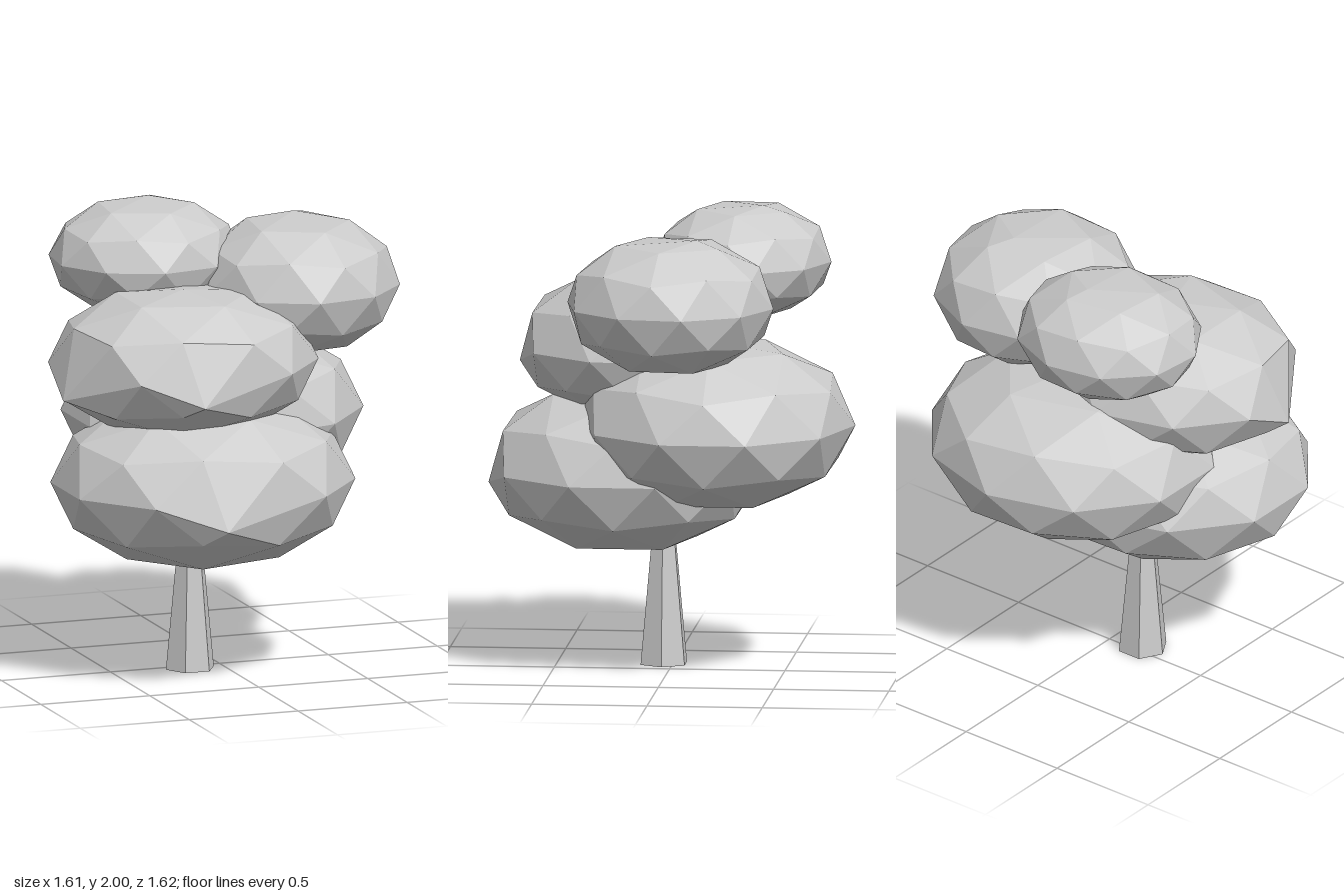
import * as THREE from 'three';

const material = new THREE.MeshStandardMaterial({ color: 0xcccccc, flatShading: true });

// Low-poly leaf clump: a pole-up icosphere with slightly flattened poles,
// stretched to the radii; nudges shift single vertices: [unit direction, offset]
function leafClump(name, centre, radii, turn = 0, nudges = []) {
  const geo = new THREE.IcosahedronGeometry(1, 1);
  geo.rotateZ(-Math.atan2(1, (1 + Math.sqrt(5)) / 2));
  const pos = geo.attributes.position;
  const v = new THREE.Vector3();
  for (let i = 0; i < pos.count; i++) {
    v.fromBufferAttribute(pos, i);
    const nudge = nudges.find(([dir]) => v.distanceTo(new THREE.Vector3(...dir)) < 0.1);
    if (Math.abs(v.y) > 0.99) v.y *= 0.934;
    v.applyAxisAngle(THREE.Object3D.DEFAULT_UP, turn);
    v.multiply(new THREE.Vector3(...radii));
    if (nudge) v.add(new THREE.Vector3(...nudge[1]));
    pos.setXYZ(i, v.x, v.y, v.z);
  }
  geo.computeVertexNormals();
  const mesh = new THREE.Mesh(geo, material);
  mesh.name = name;
  mesh.position.set(...centre);
  return mesh;
}

export function createModel() {
  const tree = new THREE.Group();
  tree.name = 'tree';

  // Tapered six-sided trunk, its top hidden in the lowest clump
  const trunkGeo = new THREE.CylinderGeometry(0.05, 0.11, 0.62, 6);
  trunkGeo.rotateY(Math.PI / 6);
  const trunk = new THREE.Mesh(trunkGeo, material);
  trunk.name = 'trunk';
  trunk.position.set(-0.15, 0.31, 0.04);
  tree.add(trunk);

  // Foliage, from the bottom up
  tree.add(
    leafClump('lowerFrontFoliage', [-0.15, 0.865, 0.205], [0.665, 0.38, 0.605], 0, [
      [[0, 0, 1], [-0.1, -0.1, 0]],
      [[0, -1, 0], [0, 0, -0.1]],
    ]),
    leafClump('lowerBackFoliage', [0.04, 1.085, -0.205], [0.66, 0.38, 0.605]),
    leafClump('middleFoliage', [-0.22, 1.39, 0.15], [0.59, 0.335, 0.53], 0, [
      [[-0.951, 0, 0.309], [-0.02, -0.12, -0.08]],
      [[0, 0, 1], [-0.09, -0.1, 0]],
    ]),
    leafClump('upperRightFoliage', [0.37, 1.65, -0.04], [0.445, 0.31, 0.455], -0.12, [
      [[0, 1, 0], [0.03, 0, -0.12]],
    ]),
    leafClump('topFoliage', [-0.235, 1.76, -0.3], [0.42, 0.26, 0.385], -0.1, [
      [[0, 1, 0], [0.05, 0, -0.09]],
    ]),
  );
  return tree;
}
